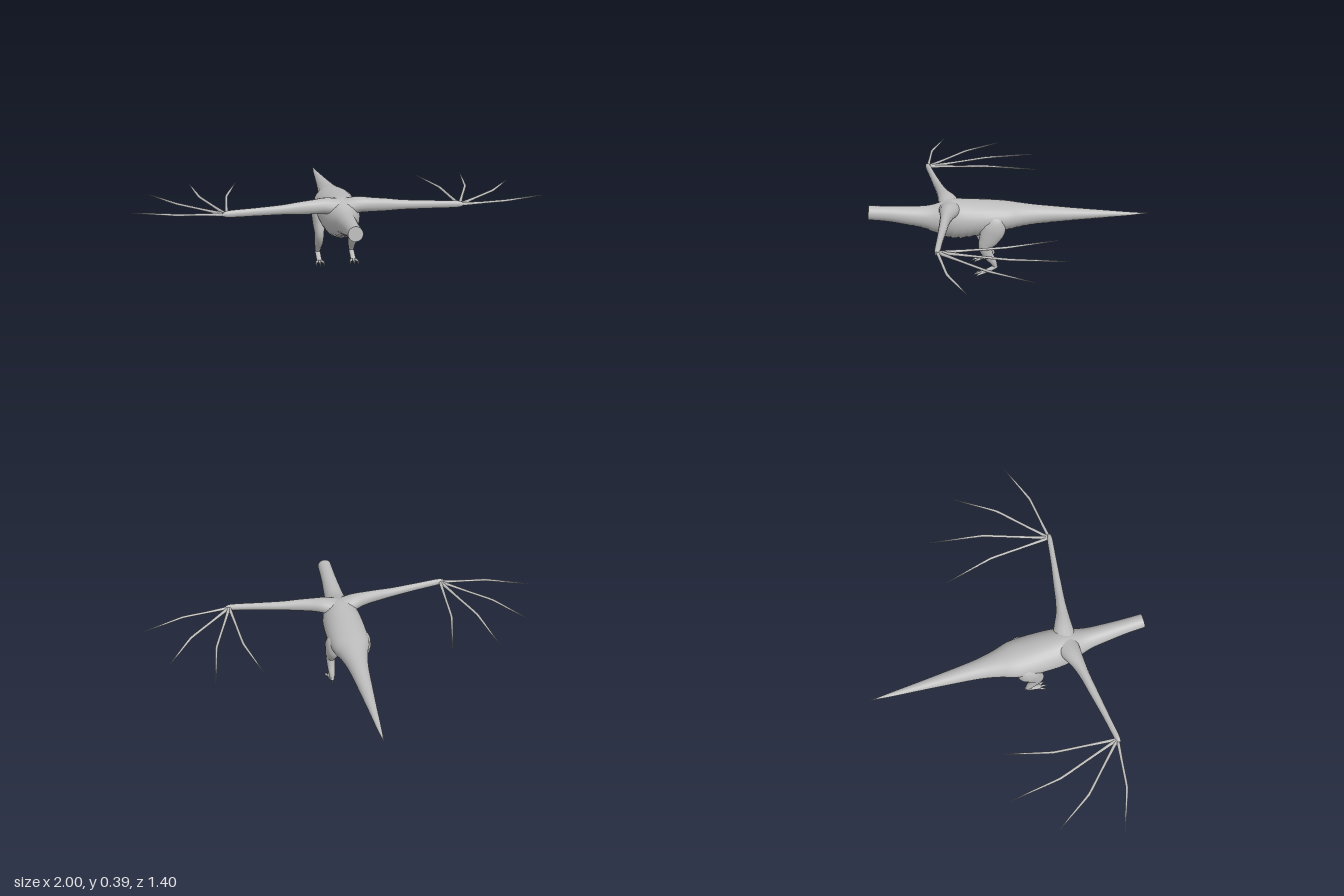
import * as THREE from 'three';

const skin = new THREE.MeshStandardMaterial({ color: 0xbcbcbc });
skin.name = 'grey skin';

// Closed loft through stations [x, y, z, radius along ref, radius across ref].
function loft(name, stations, { ref = [1, 0, 0], sides = 14, steps = 5, tension = 0.5, shape = () => 1 } = {}) {
  const curve = (f) => new THREE.CatmullRomCurve3(stations.map(f), false, 'catmullrom', tension);
  const path = curve((s) => new THREE.Vector3(s[0], s[1], s[2]));
  const radii = curve((s) => new THREE.Vector3(s[3], s[4], 0));
  const rings = (stations.length - 1) * steps;
  const side = new THREE.Vector3(...ref);
  const pos = [], index = [], ends = [];
  for (let i = 0; i <= rings; i++) {
    const c = path.getPoint(i / rings), r = radii.getPoint(i / rings);
    const t = path.getTangent(i / rings);
    const a = side.clone().addScaledVector(t, -side.dot(t)).normalize();
    const b = t.clone().cross(a);
    for (let j = 0; j < sides; j++) {
      const q = (j / sides) * Math.PI * 2, k = shape(c.z, q);
      const p = c.clone().addScaledVector(a, Math.cos(q) * r.x).addScaledVector(b, Math.sin(q) * r.y * k);
      pos.push(p.x, p.y, p.z);
      if (i < rings) {
        const n = (j + 1) % sides, u = i * sides, v = u + sides;
        index.push(u + j, u + n, v + j, u + n, v + n, v + j);
      }
    }
    if (i === 0 || i === rings) ends.push(c);
  }
  // Crisp flat caps with their own vertices
  ends.forEach((c, e) => {
    const from = e * rings * sides, base = pos.length / 3;
    for (let j = 0; j < sides * 3; j++) pos.push(pos[from * 3 + j]);
    pos.push(c.x, c.y, c.z);
    for (let j = 0; j < sides; j++) {
      const n = (j + 1) % sides;
      if (e === 0) index.push(base + sides, base + n, base + j);
      else index.push(base + sides, base + j, base + n);
    }
  });
  const geo = new THREE.BufferGeometry();
  geo.setAttribute('position', new THREE.Float32BufferAttribute(pos, 3));
  geo.setIndex(index);
  geo.computeVertexNormals();
  const mesh = new THREE.Mesh(geo, skin);
  mesh.name = name;
  return mesh;
}

// Neck, trunk and tail: [z, top, bottom, half width]
const BODY = [
  [0.70, 0.360, 0.290, 0.035], [0.60, 0.355, 0.277, 0.038], [0.50, 0.350, 0.255, 0.045],
  [0.42, 0.350, 0.235, 0.053], [0.36, 0.362, 0.207, 0.068], [0.30, 0.378, 0.184, 0.088],
  [0.25, 0.378, 0.180, 0.097], [0.18, 0.373, 0.188, 0.101], [0.10, 0.366, 0.202, 0.101],
  [0.02, 0.357, 0.217, 0.094], [-0.05, 0.346, 0.228, 0.072], [-0.12, 0.335, 0.236, 0.056],
  [-0.20, 0.325, 0.241, 0.045], [-0.32, 0.310, 0.247, 0.034], [-0.46, 0.294, 0.253, 0.022],
  [-0.60, 0.278, 0.259, 0.011], [-0.70, 0.269, 0.267, 0.001],
];

// Overlapping belly plates along the underside
function bellyPlates(z, q) {
  const under = Math.max(0, Math.sin(q));
  const fade = THREE.MathUtils.smoothstep(0.56 - z, 0, 0.15);
  const saw = (((z / 0.036) % 1) + 1) % 1;
  return 1 + 0.08 * fade * Math.sqrt(under) * (saw - 0.5);
}

// Wing finger joints: [mid x, mid z, tip x, tip z]
const FINGERS = [
  [0.795, 0.352, 1.0, 0.275],
  [0.775, 0.170, 0.905, -0.025],
  [0.662, 0.065, 0.702, -0.205],
  [0.530, 0.070, 0.465, -0.185],
];

function wing(s) {
  const g = new THREE.Group();
  g.name = s > 0 ? 'leftWing' : 'rightWing';
  const up = { ref: [0, 1, 0] };
  g.add(loft('wingArm', [
    [0.02 * s, 0.335, 0.295, 0.042, 0.060], [0.08 * s, 0.347, 0.308, 0.039, 0.046],
    [0.14 * s, 0.348, 0.322, 0.035, 0.032], [0.21 * s, 0.348, 0.334, 0.031, 0.024],
    [0.29 * s, 0.348, 0.346, 0.024, 0.021], [0.42 * s, 0.349, 0.366, 0.020, 0.016],
    [0.54 * s, 0.350, 0.383, 0.017, 0.014], [0.572 * s, 0.349, 0.387, 0.009, 0.009],
  ], up));
  FINGERS.forEach(([mx, mz, tx, tz], i) => {
    g.add(loft('wingFinger' + (i + 1), [
      [0.555 * s, 0.348, 0.384, 0.009, 0.009],
      [(0.555 + mx) / 2 * s, 0.347, (0.384 + mz) / 2, 0.006, 0.007],
      [mx * s, 0.347, mz, 0.006, 0.007],
      [(mx * 0.4 + tx * 0.6) * s, 0.345, mz * 0.4 + tz * 0.6, 0.004, 0.0045],
      [tx * s, 0.344, tz, 0.0006, 0.0006],
    ], { ...up, sides: 8, steps: 4, tension: 0.15 }));
  });
  return g;
}

function leg(s) {
  const g = new THREE.Group();
  g.name = s > 0 ? 'leftLeg' : 'rightLeg';
  g.add(loft('thighAndShank', [
    [0.066 * s, 0.305, 0.065, 0.018, 0.025], [0.074 * s, 0.285, 0.072, 0.033, 0.046],
    [0.079 * s, 0.245, 0.088, 0.037, 0.061], [0.083 * s, 0.200, 0.110, 0.030, 0.052],
    [0.083 * s, 0.155, 0.130, 0.024, 0.035], [0.083 * s, 0.110, 0.115, 0.021, 0.026],
    [0.084 * s, 0.070, 0.090, 0.016, 0.017], [0.085 * s, 0.040, 0.078, 0.010, 0.010],
  ]));
  g.add(loft('foot', [
    [0.085 * s, 0.050, 0.070, 0.009, 0.007], [0.085 * s, 0.040, 0.088, 0.013, 0.011],
    [0.085 * s, 0.026, 0.120, 0.013, 0.010], [0.085 * s, 0.015, 0.147, 0.014, 0.008],
  ]));
  // Three forward toes and one backward toe, each tapering to a claw
  [[0, 0.19], [-0.021, 0.178], [0.021, 0.178], [-0.006, 0.095]].forEach(([dx, tz], i) => {
    const x = 0.085, z = 0.135;
    g.add(loft('toe' + (i + 1), [
      [(x + dx * 0.2) * s, 0.016, z, 0.006, 0.006],
      [(x + dx * 0.7) * s, 0.014, z + (tz - z) * 0.5, 0.006, 0.006],
      [(x + dx * 0.9) * s, 0.012, z + (tz - z) * 0.75, 0.004, 0.005],
      [(x + dx) * s, 0.001, tz, 0.001, 0.001],
    ], { sides: 8, steps: 3 }));
  });
  return g;
}

export function createModel() {
  const model = new THREE.Group();
  model.name = 'wingedReptile';
  model.add(loft('body',
    BODY.map(([z, top, bottom, w]) => [0, (top + bottom) / 2, z, w, (top - bottom) / 2]),
    { sides: 28, steps: 14, shape: bellyPlates }));
  for (const s of [1, -1]) model.add(wing(s), leg(s));
  return model;
}
